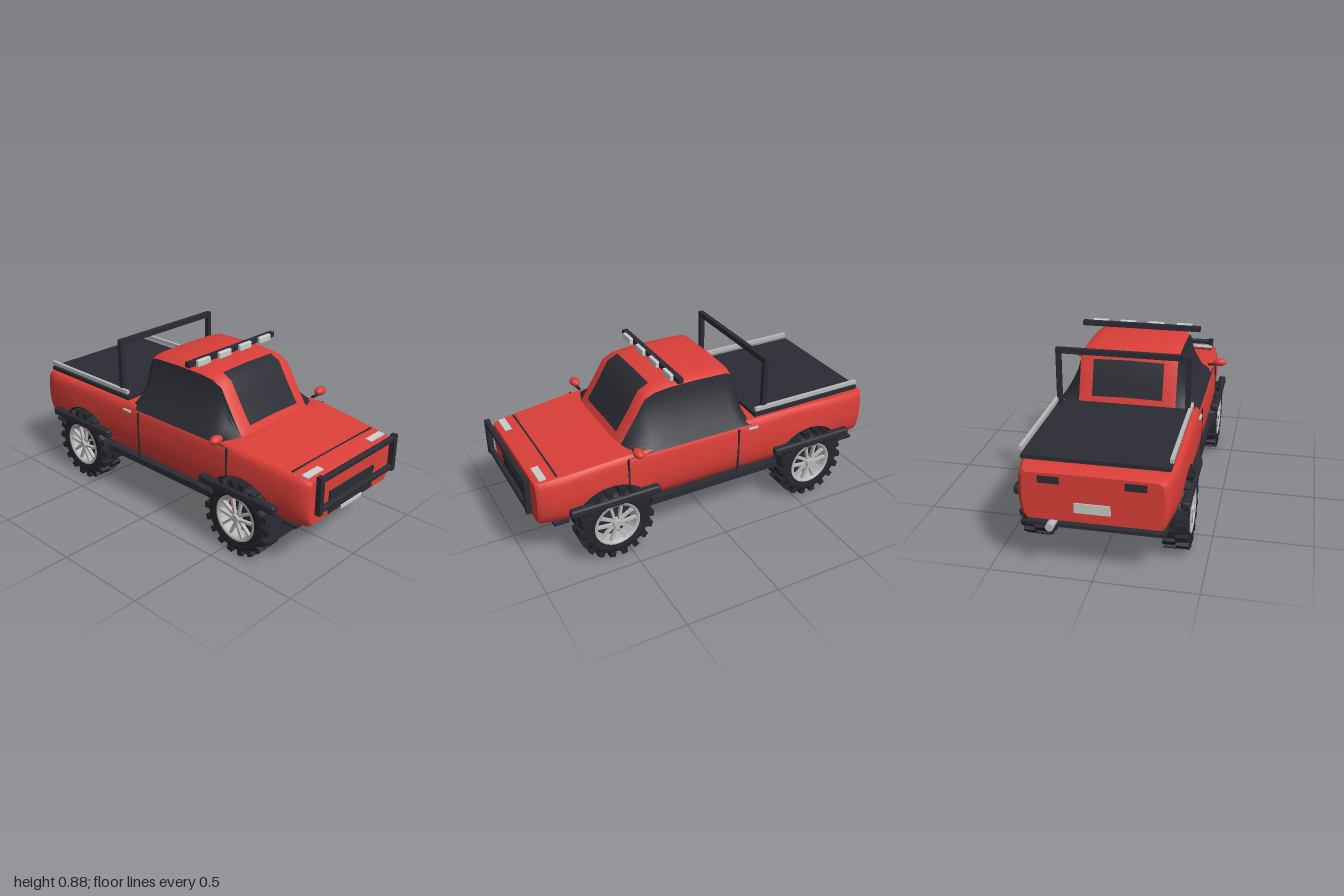
import * as THREE from 'three';
import { mergeGeometries, toCreasedNormals } from 'three/addons/utils/BufferGeometryUtils.js';
import { RoundedBoxGeometry } from 'three/addons/geometries/RoundedBoxGeometry.js';

const material = (name, color, side = THREE.FrontSide) => {
  const m = new THREE.MeshStandardMaterial({ color, side });
  m.name = name;
  return m;
};

// Linear lookup in a table of [key, value] sorted by key
function lookup(table, k) {
  if (k <= table[0][0]) return table[0][1];
  for (let i = 1; i < table.length; i++) {
    const [k0, v0] = table[i - 1], [k1, v1] = table[i];
    if (k <= k1) return v0 + (v1 - v0) * (k - k0) / (k1 - k0);
  }
  return table[table.length - 1][1];
}

// Skin over rings running from +x over the top to -x, ordered back to front
function loft(rings, closed, pick) {
  const n = rings[0].length, buckets = [[], []], pos = rings.flat(2);
  const at = (i, j) => i * n + (j % n);
  for (let i = 0; i < rings.length - 1; i++) {
    for (let j = 0; j < (closed ? n : n - 1); j++) {
      const a = at(i, j), b = at(i, j + 1), c = at(i + 1, j + 1), d = at(i + 1, j);
      buckets[pick(i, j)].push(a, b, c, a, c, d);
    }
  }
  if (closed) {
    [[0, -1], [rings.length - 1, 1]].forEach(([i, dir]) => {
      const centre = pos.length / 3;
      pos.push(0, 0.4, rings[i][0][2]);
      for (let j = 0; j < n; j++) {
        if (dir > 0) buckets[0].push(centre, at(i, j), at(i, j + 1));
        else buckets[0].push(centre, at(i, j + 1), at(i, j));
      }
    });
  }
  const g = new THREE.BufferGeometry();
  g.setAttribute('position', new THREE.Float32BufferAttribute(pos, 3));
  g.setIndex(buckets.flat());
  g.addGroup(0, buckets[0].length, 0);
  g.addGroup(buckets[0].length, buckets[1].length, 1);
  return toCreasedNormals(g, 0.65);
}

const TOP = [[-0.965, 0.53], [-0.5, 0.554], [-0.2, 0.558], [0.5, 0.555], [0.95, 0.512]];
const FLOOR = [[-0.965, 0.285], [-0.81, 0.25], [0.8, 0.25], [0.95, 0.275]];
const WIDTH = [[-0.965, 0.348], [-0.88, 0.366], [-0.7, 0.38], [-0.2, 0.386], [0.5, 0.386], [0.8, 0.368], [0.95, 0.35]];
const TUCK = [[0.25, 0.84], [0.28, 0.91], [0.31, 0.96], [0.36, 0.99], [0.42, 1]];
const SHOULDER = [[0, 0.93], [0.012, 0.965], [0.04, 0.985], [0.12, 1]];
const REAR = -0.59, FRONT = 0.575, AXLE = 0.203, ARCH = 0.215;

function bodyGeometry() {
  // Stations along z; the wheel arches lift the floor line
  const stations = [[-0.968, 0.95], [-0.95, 1], [-0.88, 1]].map(([z, s]) => [z, lookup(FLOOR, z), s]);
  const arch = c => {
    for (let k = 0; k <= 14; k++) {
      const a = Math.PI - 0.22 - (Math.PI - 0.44) * k / 14;
      stations.push([c + ARCH * Math.cos(a), AXLE + ARCH * Math.sin(a), 1]);
    }
  };
  arch(REAR);
  [-0.2, 0, 0.2].forEach(z => stations.push([z, 0.25, 1]));
  arch(FRONT);
  [[0.87, 1], [0.935, 1], [0.952, 0.96]].forEach(([z, s]) => stations.push([z, lookup(FLOOR, z), s]));
  const levels = [0, 0.1, 0.22, 0.4, 0.6, 0.78, 0.88, 0.95, 1];
  const rings = stations.map(([z, low, s]) => {
    const top = lookup(TOP, z), w = lookup(WIDTH, z);
    const side = levels.map(t => {
      const y = low + (top - low) * t;
      return [w * lookup(TUCK, y) * lookup(SHOULDER, top - y), y];
    });
    const half = [...side, [0.2, top + 0.004]];
    const ring = [...half, [0, top + 0.005], ...half.slice().reverse().map(([x, y]) => [-x, y])];
    return ring.map(([x, y]) => [x * s, 0.4 + (y - 0.4) * s, z]);
  });
  const last = rings[0].length - 1;
  return loft(rings, true, (i, j) => (j === last ? 1 : 0));
}

function cabinGeometry() {
  // [z, roof height] from the rear window to the foot of the windscreen
  const stations = [[-0.232, 0.552], [-0.218, 0.6], [-0.203, 0.652], [-0.163, 0.785], [-0.145, 0.822],
    [-0.12, 0.832], [0.05, 0.837], [0.2, 0.834], [0.285, 0.825], [0.342, 0.797], [0.396, 0.706],
    [0.468, 0.595], [0.492, 0.556]];
  const base = 0.541;
  const rings = stations.map(([z, h]) => {
    const edge = Math.max(h - 0.026, base + 0.001), half = [];
    for (let k = 0; k <= 6; k++) {
      const t = k / 6;
      half.push([0.255 + 0.12 * (1 - t) ** 1.6, base + (edge - base) * t]);
    }
    half.push([0.23, h - 0.011], [0.185, h - 0.004]);
    return [...half, [0, h], ...half.slice().reverse().map(([x, y]) => [-x, y])].map(([x, y]) => [x, y, z]);
  });
  const n = rings[0].length;
  return loft(rings, false, (i, j) => {
    const k = Math.min(j, n - 2 - j);
    const screen = k === 8 && ((i >= 1 && i < 3) || (i >= 8 && i < 11));
    return k < 6 || screen ? 1 : 0;
  });
}

export function createModel() {
  const truck = new THREE.Group();
  truck.name = 'pickupTruck';
  const red = material('red paint', 0xdc3f39);
  const dark = material('dark trim', 0x2b2c34);
  const rubber = material('tyre rubber', 0x25262c);
  const silver = material('silver metal', 0xb8b9b9, THREE.DoubleSide);
  const lamp = material('pale lamp', 0xcbcccc);

  const add = (name, geo, mat, x = 0, y = 0, z = 0, parent = truck) => {
    const m = new THREE.Mesh(geo, mat);
    m.name = name;
    m.position.set(x, y, z);
    parent.add(m);
    return m;
  };
  const box = (name, mat, w, h, d, x, y, z, parent) => add(name, new THREE.BoxGeometry(w, h, d), mat, x, y, z, parent);
  const bar = (name, mat, w, h, d, x, y, z) =>
    add(name, new RoundedBoxGeometry(w, h, d, 2, Math.min(w, h, d) * 0.3), mat, x, y, z);

  add('body', bodyGeometry(), [red, dark]);
  add('cabin', cabinGeometry(), [red, dark]);

  // Front end
  box('grille', dark, 0.36, 0.115, 0.008, 0, 0.348, 0.954);
  box('grilleTop', dark, 0.36, 0.026, 0.012, 0, 0.397, 0.956);
  box('frontPlate', lamp, 0.17, 0.02, 0.009, 0, 0.288, 0.958);
  box('hoodSeam', dark, 0.64, 0.008, 0.009, 0, 0.525, 0.84);
  bar('bullBarTop', dark, 0.62, 0.028, 0.026, 0, 0.527, 0.986);
  bar('bullBarBottom', dark, 0.62, 0.028, 0.026, 0, 0.371, 0.986);
  box('frontSkid', dark, 0.62, 0.014, 0.08, 0, 0.234, 0.83);
  add('frontSplashFlap', new THREE.PlaneGeometry(0.185, 0.15), dark, -0.307, 0.22, 0.785);

  // Bed, rails and rear end
  box('bedCover', dark, 0.69, 0.02, 0.66, 0, 0.568, -0.58);
  box('rollBarTop', dark, 0.686, 0.028, 0.025, 0, 0.87, -0.307);
  box('rearStep', dark, 0.66, 0.016, 0.095, 0, 0.235, -0.877);
  box('rearPlate', lamp, 0.17, 0.05, 0.008, 0, 0.365, -0.969);
  const pipe = new THREE.CylinderGeometry(0.02, 0.02, 0.1, 16).rotateX(Math.PI / 2);
  add('exhaustTip', pipe, silver, 0.195, 0.266, -0.95);

  // Roof lamps
  box('roofLampBar', dark, 0.65, 0.026, 0.03, 0, 0.868, 0.175);
  for (let i = 0; i < 4; i++) bar('roofLamp', lamp, 0.09, 0.037, 0.022, -0.233 + i * 0.155, 0.868, 0.198);

  // Mirrored pairs
  for (const s of [1, -1]) {
    box('bullBarPost', dark, 0.028, 0.195, 0.028, s * 0.3, 0.448, 0.986);
    box('headlight', lamp, 0.12, 0.008, 0.036, s * 0.255, 0.521, 0.907).rotation.x = 0.095;
    box('rollBarPost', dark, 0.025, 0.31, 0.025, s * 0.331, 0.728, -0.307);
    box('bedRail', silver, 0.018, 0.02, 0.65, s * 0.345, 0.605, -0.575);
    box('taillight', dark, 0.1, 0.034, 0.014, s * 0.2, 0.495, -0.968);
    box('sill', dark, 0.045, 0.034, 0.75, s * 0.362, 0.251, -0.005);
    box('doorSeamRear', dark, 0.008, 0.27, 0.009, s * 0.384, 0.4, -0.132);
    box('doorSeamFront', dark, 0.008, 0.15, 0.009, s * 0.383, 0.47, 0.492);
    bar('doorHandle', silver, 0.014, 0.014, 0.058, s * 0.386, 0.523, -0.218);
    box('mirrorStem', dark, 0.05, 0.01, 0.014, s * 0.37, 0.57, 0.45);
    add('mirror', new THREE.SphereGeometry(1, 20, 14), red, s * 0.412, 0.587, 0.452).scale.set(0.039, 0.023, 0.026);
    for (const z of [FRONT, REAR]) bar('wheelFlare', dark, 0.042, 0.045, 0.48, s * 0.4, 0.342, z);
  }

  // One wheel, axis along x with the outside at +x
  const turn = g => g.rotateZ(-Math.PI / 2);
  const lathe = pts => turn(new THREE.LatheGeometry(pts.map(p => new THREE.Vector2(...p)), 40));
  const wheel = new THREE.Group();
  wheel.name = 'wheel';
  add('tyre', lathe([[0.118, -0.058], [0.15, -0.063], [0.17, -0.06], [0.182, -0.045], [0.185, 0],
    [0.182, 0.045], [0.17, 0.06], [0.15, 0.063], [0.118, 0.058]]), rubber, 0, 0, 0, wheel);
  const lugs = [];
  for (let i = 0; i < 36; i++) {
    lugs.push(new THREE.BoxGeometry(0.06, 0.034, 0.03).translate(i % 2 ? 0.031 : -0.031, 0.184, 0)
      .rotateX(i * Math.PI / 18));
  }
  add('treadLugs', mergeGeometries(lugs), rubber, 0, 0, 0, wheel);
  add('rim', lathe([[0.121, -0.059], [0.108, -0.052], [0.104, 0], [0.104, 0.045], [0.108, 0.062], [0.123, 0.061]]),
    silver, 0, 0, 0, wheel);
  add('brakeDisc', turn(new THREE.CylinderGeometry(0.088, 0.088, 0.012, 32)), silver, -0.025, 0, 0, wheel);
  add('innerHub', turn(new THREE.CylinderGeometry(0.045, 0.045, 0.05, 24)), dark, -0.035, 0, 0, wheel);
  add('wheelBack', turn(new THREE.CylinderGeometry(0.104, 0.104, 0.006, 32)), dark, -0.012, 0, 0, wheel);
  box('brakeCaliper', red, 0.05, 0.05, 0.026, -0.016, 0.03, 0.07, wheel);
  add('hubCap', turn(new THREE.CylinderGeometry(0.02, 0.028, 0.03, 20)), silver, 0.05, 0, 0, wheel);
  const spokes = [];
  for (let i = 0; i < 5; i++) {
    for (const s of [1, -1]) {
      spokes.push(new THREE.BoxGeometry(0.018, 0.09, 0.013).rotateX(s * 0.2).translate(0.048, 0.066, s * 0.021)
        .rotateX(i * Math.PI * 0.4));
    }
  }
  add('spokes', mergeGeometries(spokes), silver, 0, 0, 0, wheel);

  for (const z of [FRONT, REAR]) {
    for (const s of [1, -1]) {
      const w = wheel.clone();
      w.name = (z > 0 ? 'front' : 'rear') + (s > 0 ? 'LeftWheel' : 'RightWheel');
      w.position.set(s * 0.347, AXLE, z);
      if (s < 0) w.rotation.y = Math.PI;
      truck.add(w);
    }
  }
  return truck;
}
